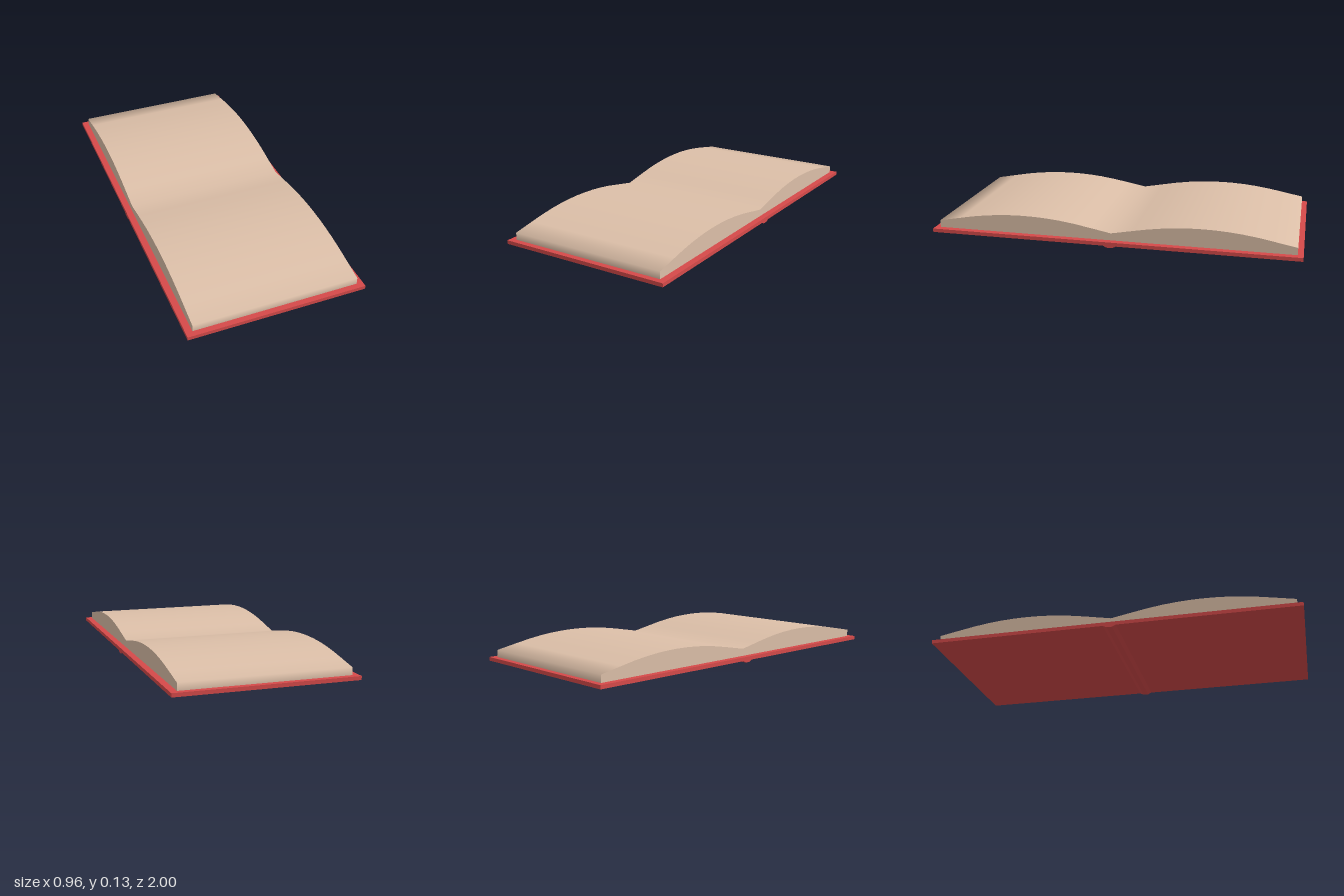
import * as THREE from 'three';

const HALF_W = 0.445, END_Z = 0.97, BASE_TOP = 0.03;

// Height of one hump; d is the distance from its crest
function humpHeight(d) {
  const a = Math.abs(d);
  return a < 0.34 ? 0.13 - 0.29 * a * a : Math.max(0.0965 - 0.19 * (a - 0.34), 0.062);
}

// Smooth strip running up the front end, over both humps and down the back end
function cushionSurface(profile) {
  const dirs = profile.slice(1).map((p, i) => {
    const d = p.clone().sub(profile[i]).normalize();
    return new THREE.Vector2(d.y, -d.x); // outward normal in (z, y)
  });
  const pos = [], nor = [], idx = [];
  profile.forEach((p, i) => {
    const a = dirs[Math.max(i - 1, 0)], b = dirs[Math.min(i, dirs.length - 1)];
    const n = a.clone().add(b).normalize();
    for (const x of [-HALF_W, HALF_W]) {
      pos.push(x, p.y, p.x);
      nor.push(0, n.y, n.x);
    }
    if (i) {
      const k = 2 * i;
      idx.push(k - 2, k - 1, k + 1, k - 2, k + 1, k);
    }
  });
  const g = new THREE.BufferGeometry();
  g.setAttribute('position', new THREE.Float32BufferAttribute(pos, 3));
  g.setAttribute('normal', new THREE.Float32BufferAttribute(nor, 3));
  g.setIndex(idx);
  return g;
}

export function createModel() {
  const group = new THREE.Group();
  const red = new THREE.MeshStandardMaterial({ color: 0xd64a4a });
  const tan = new THREE.MeshStandardMaterial({ color: 0xdcbfa8, side: THREE.DoubleSide });

  const add = (name, geometry, material) => {
    const mesh = new THREE.Mesh(geometry, material);
    mesh.name = name;
    group.add(mesh);
    return mesh;
  };

  // Thin base board with a small ridge across the middle underneath
  const board = new THREE.Shape([
    [-1, 0.01], [-0.035, 0.01], [-0.015, 0], [0.015, 0], [0.035, 0.01], [1, 0.01],
    [1, BASE_TOP], [-1, BASE_TOP],
  ].map(([z, y]) => new THREE.Vector2(z, y)));
  const boardGeo = new THREE.ExtrudeGeometry(board, { depth: 0.96, bevelEnabled: false });
  boardGeo.translate(0, 0, -0.48).rotateY(-Math.PI / 2);
  add('baseBoard', boardGeo, red);

  // Double-hump cushion profile in (z, y), front to back
  const profile = [new THREE.Vector2(END_Z, BASE_TOP)];
  const steps = [0.97, 0.85, 0.77, 0.69, 0.62, 0.55, 0.485, 0.42, 0.35, 0.28, 0.2, 0.12, 0];
  const zs = [...steps, ...steps.slice(0, -1).reverse().map((z) => -z)];
  for (const z of zs) profile.push(new THREE.Vector2(z, humpHeight(Math.abs(z) - 0.485)));
  profile.push(new THREE.Vector2(-END_Z, BASE_TOP));
  add('cushionTop', cushionSurface(profile), tan);

  // Flat cushion sides, mirrored left and right
  const sideShape = new THREE.Shape(profile);
  for (const s of [1, -1]) {
    const geo = new THREE.ShapeGeometry(sideShape);
    geo.rotateY(s * Math.PI / 2);
    add(s > 0 ? 'cushionLeftSide' : 'cushionRightSide', geo, tan).position.x = s * HALF_W;
  }
  return group;
}
